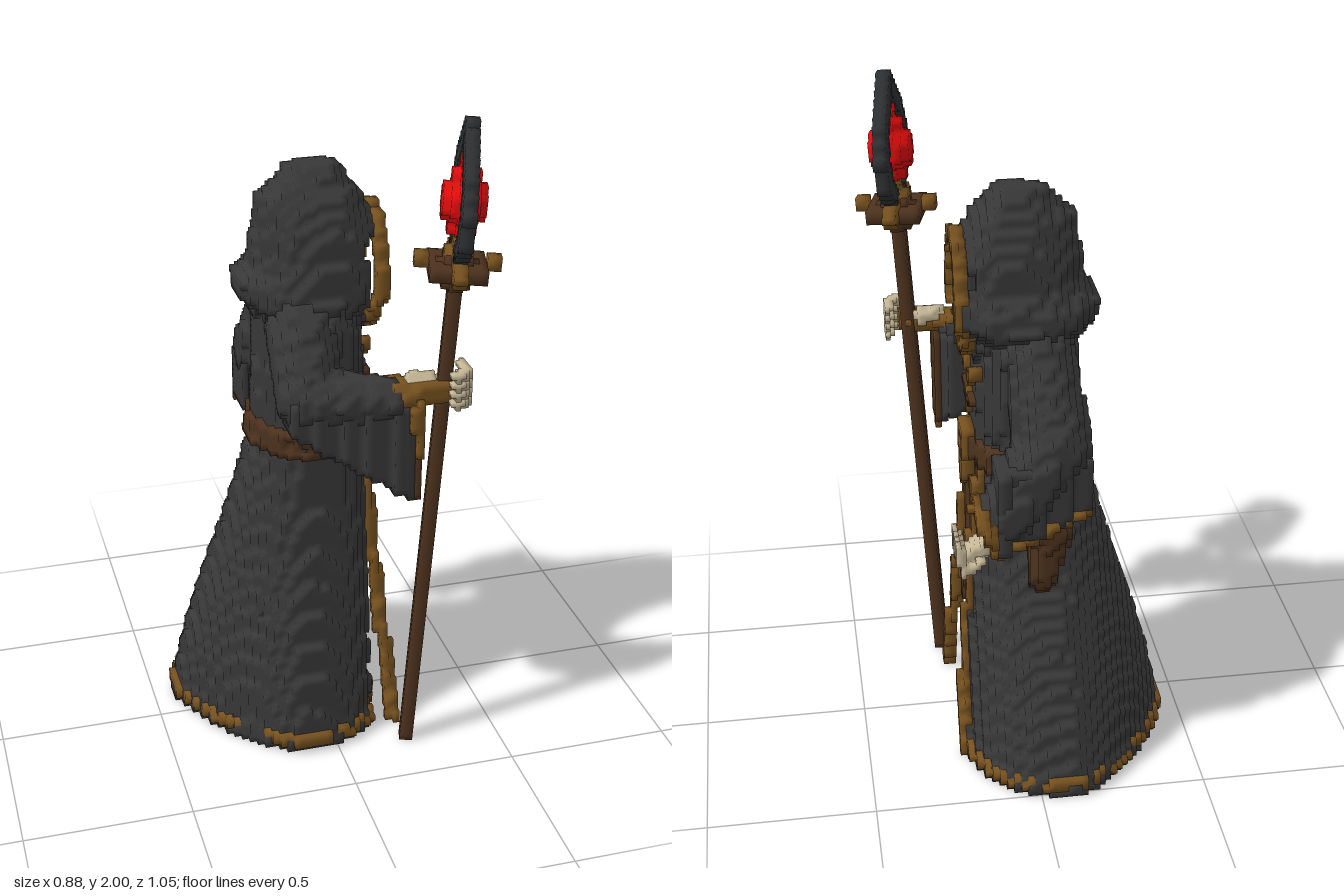
import * as THREE from 'three';
import { mergeVertices } from 'three/addons/utils/BufferGeometryUtils.js';

const paint = (name, color) => Object.assign(new THREE.MeshStandardMaterial({ color }), { name });

// Turns a solid, given as an inside(x, y, z) test, into a blocky mesh with softened normals.
function blocks(name, material, shape, cell = 0.02) {
  const lo = shape.min.map((v) => Math.floor(v / cell) - 1);
  const n = shape.max.map((v, i) => Math.ceil(v / cell) + 1 - lo[i]);
  const at = (p) => (p[0] * n[1] + p[1]) * n[2] + p[2];
  const fill = new Uint8Array(n[0] * n[1] * n[2]);
  const each = (fn) => {
    for (let i = 0; i < n[0]; i++) for (let j = 0; j < n[1]; j++) for (let k = 0; k < n[2]; k++) fn([i, j, k]);
  };
  each((p) => {
    const c = p.map((v, i) => (v + lo[i] + 0.5) * cell);
    fill[at(p)] = shape.inside(c[0], c[1], c[2]) ? 1 : 0;
  });
  const verts = [];
  each((p) => {
    if (!fill[at(p)]) return;
    for (let a = 0; a < 3; a++) for (const d of [1, -1]) {
      const q = [...p];
      q[a] += d;
      if (q[a] >= 0 && q[a] < n[a] && fill[at(q)]) continue;
      const corner = (u, v) => {
        const c = [...p];
        if (d > 0) c[a]++;
        c[(a + 1) % 3] += u;
        c[(a + 2) % 3] += v;
        return c.map((w, i) => (w + lo[i]) * cell);
      };
      const s = [corner(0, 0), corner(1, 0), corner(1, 1), corner(0, 1)];
      if (d < 0) s.reverse();
      for (const i of [0, 1, 2, 0, 2, 3]) verts.push(...s[i]);
    }
  });
  const soup = new THREE.BufferGeometry();
  soup.setAttribute('position', new THREE.Float32BufferAttribute(verts, 3));
  const geo = mergeVertices(soup);
  geo.computeVertexNormals();
  const mesh = new THREE.Mesh(geo, material);
  mesh.name = name;
  return mesh;
}

// Chain of tapered round links through points [x, y, z, radius].
function chain(pts) {
  const inside = (x, y, z) => pts.slice(1).some((b, i) => {
    const a = pts[i], d = [b[0] - a[0], b[1] - a[1], b[2] - a[2]];
    const len = d[0] * d[0] + d[1] * d[1] + d[2] * d[2];
    const t = Math.min(1, Math.max(0, ((x - a[0]) * d[0] + (y - a[1]) * d[1] + (z - a[2]) * d[2]) / len));
    return Math.hypot(x - a[0] - t * d[0], y - a[1] - t * d[1], z - a[2] - t * d[2]) < a[3] + t * (b[3] - a[3]);
  });
  return {
    inside,
    min: [0, 1, 2].map((i) => Math.min(...pts.map((p) => p[i] - p[3]))),
    max: [0, 1, 2].map((i) => Math.max(...pts.map((p) => p[i] + p[3]))),
  };
}

// Rounded body through rows [y, back x, front x, right z, left z], optionally grown and trimmed.
function body(rows, grow = 0, keep = () => true) {
  const last = rows.length - 1;
  const inside = (x, y, z) => {
    if (y < rows[0][0] || y > rows[last][0]) return false;
    let i = 0;
    while (i < last - 1 && y > rows[i + 1][0]) i++;
    const t = (y - rows[i][0]) / (rows[i + 1][0] - rows[i][0]);
    const [, xb, xf, zr, zl] = rows[i].map((v, k) => v + t * (rows[i + 1][k] - v));
    const cz = (zr + zl) / 2, cx = xf - Math.min(xf - xb, zl - zr) / 2;
    const u = x > cx ? (x - cx) / (xf - cx + grow) : (cx - x) / (cx - xb + grow);
    const v = Math.abs(z - cz) / ((zl - zr) / 2 + grow);
    const p = x > cx ? 2.6 : 1.4 + 0.6 * Math.min(1, y);
    return u ** p + v ** p < 1 && keep(x, y, z, xf);
  };
  const ext = (k, f) => f(...rows.map((r) => r[k]));
  return {
    inside,
    min: [ext(1, Math.min) - grow, rows[0][0], ext(3, Math.min) - grow],
    max: [ext(2, Math.max) + grow, rows[last][0], ext(4, Math.max) + grow],
  };
}

const slab = (min, max, inside = () => true) => ({
  min, max,
  inside: (x, y, z) => [x, y, z].every((v, i) => v > min[i] && v < max[i]) && inside(x, y, z),
});

export function createModel() {
  const cloth = paint('charcoal cloth', 0x383838);
  const iron = paint('dark iron', 0x2f3032);
  const trim = paint('tan trim', 0x76511f);
  const leather = paint('brown leather', 0x4d321d);
  const bone = paint('bone', 0xc6b796);
  const glow = paint('red glow', 0xe00c0c);
  const model = new THREE.Group();
  const add = (...args) => model.add(blocks(...args));

  // Hollow robe with an open front over a recessed lower layer
  const robe = [
    [0, -0.44, 0.21, -0.52, 0.31], [0.2, -0.4, 0.19, -0.455, 0.28], [0.4, -0.345, 0.18, -0.375, 0.24],
    [0.6, -0.28, 0.165, -0.285, 0.195], [0.8, -0.225, 0.15, -0.22, 0.165], [0.97, -0.175, 0.135, -0.195, 0.16],
    [1.2, -0.17, 0.14, -0.22, 0.17], [1.34, -0.16, 0.12, -0.24, 0.18], [1.43, -0.13, 0.08, -0.18, 0.13],
  ];
  const slit = (x, y, z) => x > 0 && y < 0.93 && z < 0.21 - 0.15 * Math.min(1, y / 0.75) && z > -0.26 + 0.14 * Math.min(1, y / 0.55);
  const lining = body(robe, -0.035).inside, hollow = body(robe, -0.06).inside;
  add('robe', cloth, body(robe, 0, (x, y, z) => !slit(x, y, z) && (y > 0.92 || !lining(x, y, z))));
  add('underRobe', cloth, body(robe, -0.035, (x, y, z) => x > 0 && y < 0.94 && !hollow(x, y, z)));
  add('underRobeHem', leather, body(robe, -0.02, (x, y, z) => slit(x, y, z) && y > 0.02 && y < 0.06 && !lining(x, y, z)));
  add('robeHem', trim, body(robe, 0.012, (x, y, z) => y > 0.02 && y < 0.065 && !slit(x, y, z) && !hollow(x, y, z)));
  const edges = [
    [[0.13, 0.92, 0.07], [0.155, 0.7, 0.075], [0.18, 0.4, 0.11], [0.195, 0.2, 0.155], [0.205, 0.02, 0.215]],
    [[0.13, 0.92, -0.12], [0.155, 0.7, -0.12], [0.175, 0.42, -0.15], [0.195, 0.2, -0.2], [0.2, 0.02, -0.27]],
  ];
  for (const e of edges) add('robeFrontTrim', trim, chain(e.map((p) => [...p, 0.02])));

  // Belt, buckle and hanging cloth
  add('belt', leather, body(robe, 0.018, (x, y) => y > 0.94 && y < 1.02));
  add('beltTail', leather, body(robe, 0.008, (x, y, z, xf) =>
    x > xf - 0.04 && y > 0.42 && y < 0.94 && Math.abs(z + 0.02) < (y > 0.62 ? 0.07 : 0.015 + (y - 0.42) * 0.22)));
  add('buckle', trim, slab([0.13, 0.94, -0.09], [0.18, 1.04, 0.03], (x, y, z) => Math.max(Math.abs(y - 0.98), Math.abs(z + 0.03)) > 0.025));
  add('beltCharm', trim, chain([[0.155, 0.92, -0.03, 0.03], [0.16, 0.86, -0.03, 0.022]]));

  // Chest lacing
  for (const s of [-1, 1]) {
    add('chestLace', leather, chain([[0.14, 1.13, -0.03 + s * 0.015, 0.02], [0.135, 1.15, -0.03 + s * 0.07, 0.02]]));
    add('chestToggle', trim, chain([[0.145, 1.21, -0.03 + s * 0.04, 0.018], [0.14, 1.24, -0.03 + s * 0.08, 0.02]]));
  }
  add('chestClasp', trim, chain([[0.145, 1.1, -0.03, 0.018], [0.145, 1.14, -0.03, 0.015]]));

  // Hood, hollowed around the face
  const hood = [
    [1.25, -0.14, 0.13, -0.15, 0.1], [1.36, -0.18, 0.16, -0.2, 0.14], [1.4, -0.22, 0.19, -0.235, 0.155],
    [1.45, -0.23, 0.2, -0.225, 0.145],
    [1.5, -0.18, 0.19, -0.19, 0.135], [1.6, -0.17, 0.18, -0.17, 0.115], [1.69, -0.155, 0.14, -0.13, 0.075],
    [1.74, -0.1, 0.1, -0.1, 0.04], [1.78, -0.07, 0.07, -0.08, 0.01],
  ];
  add('hood', cloth, body(hood, 0, (x, y, z) => !(x > 0.1 && Math.hypot((z + 0.02) / 0.13, (y - 1.46) / 0.17) < 1)));
  const rim = [
    [0.175, 1.64, 0], [0.185, 1.61, 0.065], [0.185, 1.53, 0.105], [0.175, 1.42, 0.13],
    [0.165, 1.34, 0.085], [0.155, 1.29, 0],
  ];
  for (const s of [-1, 1]) {
    add('hoodTrim', trim, chain(rim.map(([x, y, z]) => [x, y, -0.02 + s * z, 0.021])));
    add('eye', glow, slab([0.09, 1.5, -0.045 + s * 0.055], [0.112, 1.536, -0.005 + s * 0.055]), 0.012);
  }
  add('nose', iron, chain([[0.1, 1.48, -0.02, 0.015], [0.115, 1.42, -0.02, 0.03]]));

  // Left arm holding the staff, with a draped sleeve
  add('leftSleeve', cloth, chain([[-0.06, 1.33, 0.11, 0.1], [-0.07, 1.17, 0.22, 0.09], [0.14, 1.18, 0.32, 0.055]]));
  add('leftSleeveDrape', cloth, slab([-0.14, 0.86, 0.14], [0.2, 1.18, 0.4], (x, y, z) =>
    y > 1.08 - (x + 0.14) * 0.6 && Math.abs(z - 0.255 - (x + 0.08) * 0.28) < 0.055));
  add('leftSleeveLining', leather, slab([0.2, 0.88, 0.28], [0.22, 1.18, 0.38]));
  add('leftSleeveTrim', trim, chain([[0.2, 1.18, 0.385, 0.015], [0.205, 0.89, 0.37, 0.015], [0.205, 0.88, 0.29, 0.015]]));
  add('leftWrist', trim, chain([[0.16, 1.205, 0.325, 0.045], [0.2, 1.205, 0.345, 0.036], [0.3, 1.205, 0.36, 0.03]]));
  add('leftPalm', bone, chain([[0.2, 1.235, 0.325, 0.022], [0.25, 1.23, 0.33, 0.026]]), 0.014);
  for (let i = 0; i < 4; i++) {
    const y = 1.18 + i * 0.028;
    add('leftFinger', bone, chain([[0.31, y, 0.395, 0.014], [0.355, y, 0.37, 0.014], [0.355, y, 0.31, 0.013]]), 0.014);
  }

  // Right arm with a wide draped sleeve and an open hand
  add('rightSleeve', cloth, chain([[-0.03, 1.33, -0.16, 0.1], [-0.06, 1.1, -0.3, 0.107], [0.08, 0.93, -0.36, 0.085]]));
  add('rightSleeveDrape', cloth, slab([-0.17, 0.8, -0.46], [0.12, 1.08, -0.2], (x, y, z) =>
    y > 0.92 - (x + 0.17) * 0.35 && Math.abs(z + 0.31 + (x + 0.17) * 0.22) < 0.065));
  add('rightDrapeTrim', trim, chain([[-0.15, 0.92, -0.37, 0.016], [0, 0.865, -0.41, 0.016], [0.12, 0.84, -0.43, 0.016]]));
  add('rightSleeveLining', leather, chain([[-0.04, 0.86, -0.355, 0.065], [-0.02, 0.68, -0.355, 0.035]]));
  const cuff = [];
  for (let i = 0; i <= 12; i++) {
    const a = (i / 12) * Math.PI * 2;
    cuff.push([0.14 + 0.03 * Math.sin(a), 0.885 + 0.068 * Math.sin(a), -0.365 + 0.072 * Math.cos(a), 0.021]);
  }
  add('rightCuff', trim, chain(cuff));
  add('rightPalm', bone, chain([[0.12, 0.87, -0.37, 0.028], [0.18, 0.81, -0.375, 0.036]]), 0.014);
  for (let i = 0; i < 4; i++) {
    const z = -0.42 + i * 0.031;
    add('rightFinger', bone, chain([[0.17, 0.8, z, 0.014], [0.215, 0.77 + (i % 2) * 0.01, z, 0.014], [0.23, 0.86, z, 0.013]]), 0.014);
  }

  // Staff, built upright and then leaned into the left hand
  const staff = new THREE.Group();
  staff.name = 'staff';
  const place = (...args) => staff.add(blocks(...args));
  place('staffPole', leather, chain([[0, 0.025, 0, 0.028], [0, 1.54, 0, 0.03]]));
  place('staffCollar', leather, chain([[0, 1.545, 0, 0.035], [0, 1.57, 0, 0.06]]));
  place('staffPlate', leather, slab([-0.08, 1.56, -0.09], [0.08, 1.6, 0.09]));
  for (const s of [-1, 1]) {
    place('staffProng', trim, chain([[0, 1.59, s * 0.05, 0.025], [0, 1.59, s * 0.12, 0.022]]));
    place('staffProng', trim, chain([[s * 0.05, 1.58, 0, 0.02], [s * 0.1, 1.6, 0, 0.02]]));
    place('staffRing', iron, chain([
      [0, 1.65, s * 0.07, 0.026], [0, 1.69, s * 0.125, 0.03], [0, 1.78, s * 0.145, 0.03],
      [0, 1.87, s * 0.105, 0.03], [0, 1.92, s * 0.04, 0.03], [0, 1.98, 0, 0.024],
    ]));
  }
  place('crystalSeat', trim, chain([[0, 1.59, 0, 0.05], [0, 1.65, 0, 0.03]]));
  place('crystal', glow, chain([[0, 1.68, 0, 0.028], [0, 1.77, 0, 0.068], [0, 1.88, 0, 0.02]]));
  staff.position.set(0.215, 0, 0.315);
  staff.quaternion.setFromUnitVectors(new THREE.Vector3(0, 1, 0), new THREE.Vector3(0.125, 2, 0.045).normalize());
  staff.rotateY(-0.26);
  model.add(staff);
  return model;
}
